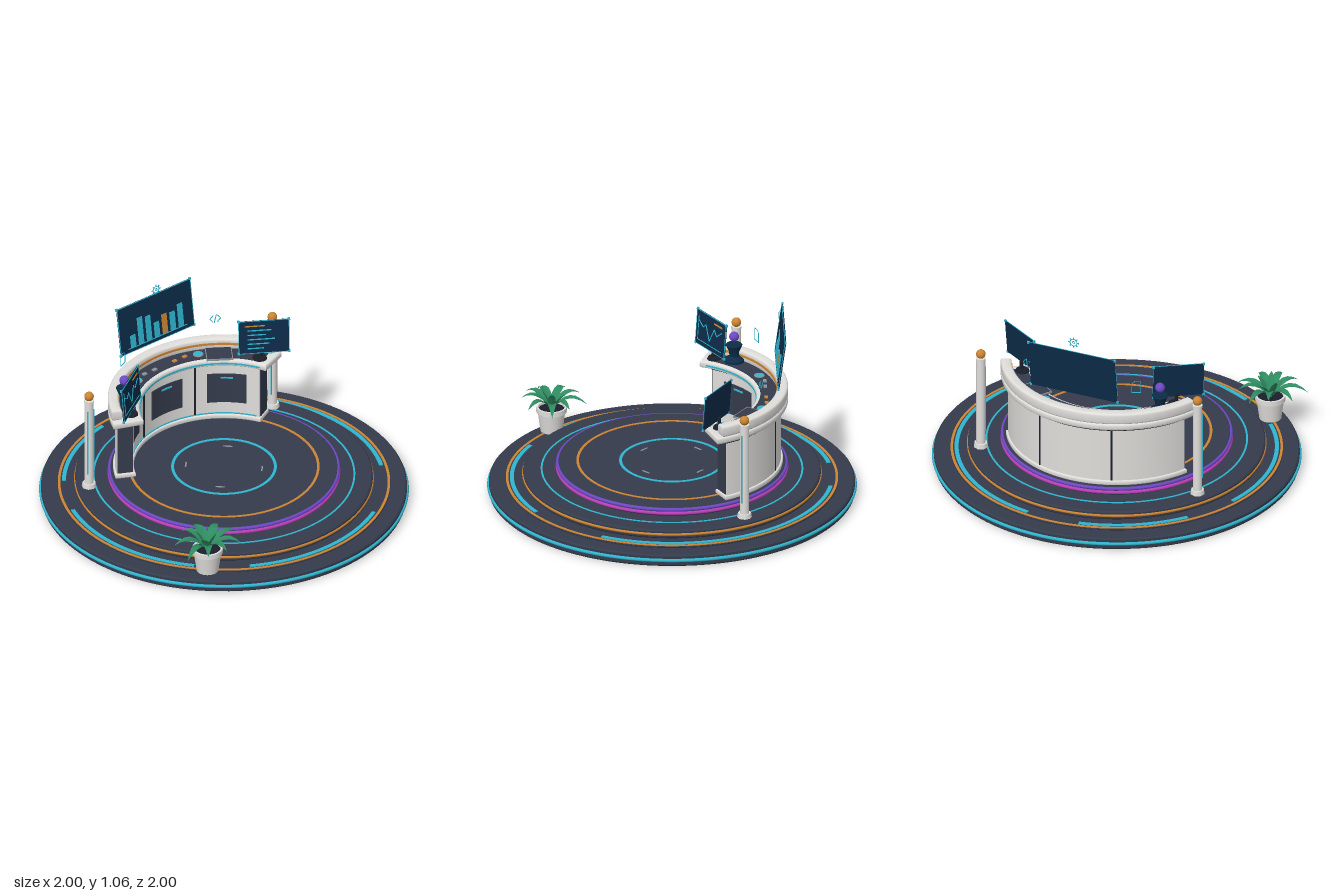
import * as THREE from 'three';
import { toCreasedNormals } from 'three/addons/utils/BufferGeometryUtils.js';

const paint = (name, color) => { const m = new THREE.MeshStandardMaterial({ color }); m.name = name; return m; };
const rad = THREE.MathUtils.degToRad;

export function createModel() {
  const navy = paint('slate navy', 0x343b4b), dark = paint('dark trim', 0x1b1f2a);
  const cyan = paint('cyan light', 0x30b5d0), orange = paint('orange', 0xcc8433);
  const purple = paint('purple', 0x6e48c8), magenta = paint('magenta', 0xb83fb4);
  const white = paint('off white', 0xdfdedb), grey = paint('mid grey', 0x8e949c);
  const glass = paint('screen blue', 0x0c2c48);
  const green = paint('leaf green', 0x2f8d62); green.side = THREE.DoubleSide;

  const model = new THREE.Group();
  const add = (parent, name, geo, mat, x = 0, y = 0, z = 0) => {
    const m = new THREE.Mesh(geo, mat);
    m.name = name; m.position.set(x, y, z); parent.add(m);
    return m;
  };
  const group = (parent, name, x = 0, y = 0, z = 0) => {
    const g = new THREE.Group();
    g.name = name; g.position.set(x, y, z); parent.add(g);
    return g;
  };
  const lathe = (pts, seg = 96) =>
    toCreasedNormals(new THREE.LatheGeometry(pts.map(p => new THREE.Vector2(...p)), seg), 0.5);
  const torus = (r, tube) => new THREE.TorusGeometry(r, tube, 8, 96).rotateX(Math.PI / 2);

  // Curved block around the centre; angles in degrees from the back towards +x
  const arcBlock = (parent, name, mat, r0, r1, y0, y1, a0, a1, bevel = 0) => {
    const s = new THREE.Shape(), p = a => rad(90 - a);
    s.absarc(0, 0, r1, p(a0), p(a1), true);
    s.absarc(0, 0, r0, p(a1), p(a0), false);
    const geo = new THREE.ExtrudeGeometry(s, {
      depth: y1 - y0 - 2 * bevel, curveSegments: Math.max(2, Math.ceil((a1 - a0) / 3)),
      bevelEnabled: bevel > 0, bevelThickness: bevel, bevelSize: bevel, bevelOffset: -bevel, bevelSegments: 3
    }).rotateX(-Math.PI / 2);
    return add(parent, name, toCreasedNormals(geo, 0.6), mat, 0, y0 + bevel, 0);
  };

  // Stepped round platform
  const platform = group(model, 'platform');
  const tier = (name, r, y0, y1, b) => add(platform, name, lathe([
    [0, y0], [r - b, y0], [r, y0 + b], [r, y1 - b], [r - b, y1], [0, y1]]), navy);
  tier('lowerTier', 0.99, 0, 0.068, 0.008);
  tier('lowerStep', 0.9, 0.068, 0.08, 0.003);
  tier('middleTier', 0.805, 0.08, 0.13, 0.008);
  tier('upperTier', 0.62, 0.13, 0.178, 0.008);
  const band = (name, mat, r, y, tube) => add(platform, name, torus(r, tube), mat, 0, y, 0);
  band('lowerLightBand', cyan, 0.99, 0.036, 0.01);
  band('middleLightBand', orange, 0.802, 0.105, 0.009);
  band('upperMagentaBand', magenta, 0.62, 0.147, 0.01);
  band('upperPurpleBand', purple, 0.618, 0.168, 0.01);
  const flatRing = (name, mat, r, w, y) => add(platform, name, lathe([
    [r - w, y], [r + w, y], [r + w, y + 0.004], [r - w, y + 0.004], [r - w, y]]), mat);
  flatRing('outerOrangeRing', orange, 0.892, 0.007, 0.079);
  flatRing('middleCyanRing', cyan, 0.705, 0.005, 0.129);
  flatRing('floorOrangeRing', orange, 0.51, 0.007, 0.177);
  flatRing('floorCyanRing', cyan, 0.278, 0.008, 0.177);
  for (const [a0, a1] of [[310, 350], [370, 478], [150, 210], [230, 290]])
    arcBlock(platform, 'lightArc', cyan, 0.855, 0.877, 0.079, 0.085, a0, a1);
  for (const a of [45, 135, 225, 315])
    add(platform, 'floorMark', new THREE.BoxGeometry(0.05, 0.004, 0.008), grey,
      0.207 * Math.sin(rad(a)), 0.179, -0.207 * Math.cos(rad(a))).rotation.y = -rad(a);

  // Curved counter
  const counter = group(model, 'counter');
  arcBlock(counter, 'plinth', white, 0.488, 0.6, 0.178, 0.205, -63, 63, 0.006);
  arcBlock(counter, 'body', white, 0.5, 0.59, 0.2, 0.52, -62, 62);
  arcBlock(counter, 'shadowGap', dark, 0.493, 0.596, 0.515, 0.532, -62.5, 62.5);
  arcBlock(counter, 'worktop', white, 0.457, 0.628, 0.532, 0.572, -69, 69, 0.012);
  arcBlock(counter, 'worktopLight', cyan, 0.453, 0.46, 0.547, 0.555, -64, 64);
  arcBlock(counter, 'worktopInlay', navy, 0.478, 0.572, 0.57, 0.576, -64, 64);
  arcBlock(counter, 'riser', white, 0.57, 0.628, 0.57, 0.634, -66, 66, 0.012);
  arcBlock(counter, 'riserLight', orange, 0.565, 0.572, 0.6, 0.612, -64, 64);
  for (const a of [-41, 0, 41]) {
    arcBlock(counter, 'doorInset', navy, 0.494, 0.501, 0.28, 0.46, a - 12.4, a + 12.4);
    arcBlock(counter, 'doorHandle', cyan, 0.487, 0.495, 0.434, 0.442, a - 4, a + 4);
  }
  for (const a of [-21, 21]) {
    arcBlock(counter, 'innerSeam', dark, 0.496, 0.501, 0.205, 0.52, a - 0.6, a + 0.6);
    arcBlock(counter, 'outerSeam', dark, 0.589, 0.593, 0.205, 0.52, a - 0.4, a + 0.4);
  }
  arcBlock(counter, 'baseLight', cyan, 0.495, 0.501, 0.207, 0.213, -60, 60);
  for (const s of [-1, 1]) {
    const a = [62 * s, 62.7 * s].sort((p, q) => p - q);
    arcBlock(counter, 'endPanel', navy, 0.503, 0.587, 0.21, 0.515, ...a);
  }

  // Small things on the worktop
  const desk = group(model, 'deskItems');
  for (const s of [-1, 1]) {
    add(desk, 'touchPad', new THREE.CylinderGeometry(0.024, 0.024, 0.008, 24), cyan, 0.212 * s, 0.579, -0.48);
    add(desk, 'touchPadRim', torus(0.025, 0.004), grey, 0.212 * s, 0.579, -0.48);
    for (const x of [0.07, 0.14])
      add(desk, 'button', new THREE.BoxGeometry(0.026, 0.008, 0.02), s < 0 ? grey : orange, x * s, 0.579, -0.507);
  }
  const tablet = group(desk, 'tablet', 0.3, 0.58, -0.41);
  tablet.rotation.y = -0.6;
  add(tablet, 'tabletBody', new THREE.BoxGeometry(0.14, 0.008, 0.12), navy);
  for (const s of [-1, 1]) {
    add(tablet, 'tabletLongEdge', new THREE.BoxGeometry(0.145, 0.01, 0.004), grey, 0, 0, 0.06 * s);
    add(tablet, 'tabletShortEdge', new THREE.BoxGeometry(0.004, 0.01, 0.12), grey, 0.07 * s, 0, 0);
  }
  add(desk, 'orbStand', lathe([[0, 0], [0.055, 0], [0.055, 0.015], [0.025, 0.035], [0.028, 0.06],
    [0.045, 0.1], [0.04, 0.105], [0, 0.1]], 24), glass, -0.41, 0.574, -0.35);
  add(desk, 'orb', new THREE.SphereGeometry(0.027, 20, 14), purple, -0.41, 0.722, -0.35);

  // Screens: thin panel, light frame and drawn charts
  const rect = (parent, name, mat, x, y, w, h, turn = 0, z = 0.006) => {
    const m = add(parent, name, new THREE.BoxGeometry(w, h, 0.003), mat, x, y, z);
    m.rotation.z = turn;
    return m;
  };
  const line = (parent, name, mat, pts, w) => pts.slice(1).forEach(([x, y], i) => {
    const dx = x - pts[i][0], dy = y - pts[i][1];
    rect(parent, name, mat, x - dx / 2, y - dy / 2, Math.hypot(dx, dy) + w / 2, w, Math.atan2(dy, dx));
  });
  const screen = (name, w, h, x, y, z, tilt, yaw) => {
    const g = group(model, name, x, y, z);
    g.rotation.set(tilt, yaw, 0, 'YXZ');
    add(g, 'panel', new THREE.BoxGeometry(w, h, 0.008), glass);
    for (const s of [-1, 1]) {
      rect(g, 'frameBar', cyan, 0, s * h / 2, w, 0.004, 0, 0.003);
      rect(g, 'frameSide', cyan, s * w / 2, 0, 0.004, h, 0, 0.003);
      for (const t of [-1, 1])
        add(g, 'frameCorner', new THREE.BoxGeometry(0.013, 0.013, 0.01), cyan, s * w / 2, t * h / 2, 0);
    }
    return g;
  };
  const main = screen('mainScreen', 0.51, 0.278, 0, 0.846, -0.587, -0.135, 0);
  [0.07, 0.157, 0.145, 0.087, 0.115, 0.108, 0.136].forEach((h, i) =>
    rect(main, 'chartBar', i === 4 ? orange : cyan, -0.167 + i * 0.0555, -0.112 + h / 2, 0.036, h));
  rect(main, 'chartBase', cyan, 0, -0.116, 0.41, 0.004);

  const graph = screen('rightMonitor', 0.275, 0.195, -0.465, 0.715, -0.228, -0.08, rad(32));
  line(graph, 'graphLine', cyan, [[-0.11, 0.04], [-0.07, 0.015], [-0.045, 0.035], [-0.005, -0.045],
    [0.035, 0.035], [0.06, 0.005], [0.105, 0.04]], 0.005);
  line(graph, 'graphAxis', cyan, [[-0.115, 0.07], [-0.115, -0.07], [0.11, -0.07]], 0.003);
  rect(graph, 'graphLabel', orange, 0.07, 0.07, 0.075, 0.009);

  const list = screen('leftMonitor', 0.275, 0.195, 0.465, 0.715, -0.228, -0.08, rad(-32));
  [0.11, 0.13, 0.1, 0.15, 0.12, 0.09].forEach((w, i) =>
    rect(list, 'listRow', i ? cyan : orange, -0.105 + (i ? 0.015 : 0) + w / 2, 0.068 - i * 0.027, w, 0.006));
  for (const s of [-1, 1]) {
    add(desk, 'monitorFoot', new THREE.CylinderGeometry(0.035, 0.04, 0.012, 20), dark, 0.45 * s, 0.58, -0.245);
    add(desk, 'monitorNeck', new THREE.CylinderGeometry(0.01, 0.01, 0.06, 12), dark, 0.457 * s, 0.61, -0.24);
  }

  // Floating outline symbols
  const gear = group(model, 'gearSymbol', 0, 1.027, -0.58);
  add(gear, 'gearRing', new THREE.TorusGeometry(0.02, 0.0025, 6, 24), cyan);
  add(gear, 'gearHub', new THREE.TorusGeometry(0.007, 0.002, 6, 16), cyan);
  for (let i = 0; i < 8; i++) {
    const a = i * Math.PI / 4;
    rect(gear, 'gearTooth', cyan, 0.026 * Math.cos(a), 0.026 * Math.sin(a), 0.01, 0.006, a, 0);
  }
  const sheet = group(model, 'sheetSymbol', -0.325, 0.767, -0.475);
  sheet.rotation.y = 0.4;
  line(sheet, 'sheetEdge', cyan, [[-0.024, -0.034], [0.024, -0.034], [0.024, 0.02], [0.01, 0.034],
    [-0.024, 0.034], [-0.024, -0.034]], 0.003);
  const brackets = group(model, 'bracketSymbol', 0.325, 0.767, -0.475);
  brackets.rotation.y = -0.4;
  for (const s of [-1, 1])
    line(brackets, 'bracket', cyan, [[0.013 * s, 0.02], [0.03 * s, 0], [0.013 * s, -0.02]], 0.004);
  line(brackets, 'slash', cyan, [[-0.006, -0.025], [0.006, 0.025]], 0.004);

  // Posts with ball finials
  for (const s of [-1, 1]) {
    const post = group(model, 'post', 0.64 * s, 0.13, -0.37);
    add(post, 'postFoot', new THREE.CylinderGeometry(0.036, 0.04, 0.025, 8), white, 0, 0.0125, 0);
    add(post, 'postShaft', new THREE.CylinderGeometry(0.025, 0.025, 0.53, 20), white, 0, 0.28, 0);
    add(post, 'postCap', new THREE.CylinderGeometry(0.028, 0.028, 0.012, 8), white, 0, 0.542, 0);
    add(post, 'postBall', new THREE.SphereGeometry(0.026, 20, 14), orange, 0, 0.572, 0);
    for (const t of [-1, 1])
      add(post, 'postLight', new THREE.BoxGeometry(0.006, 0.4, 0.008), cyan, 0.02 * t, 0.29, 0.015).rotation.y = t * 0.93;
  }

  // Potted plant: folded, drooping blades
  const plant = group(model, 'plant', -0.63, 0.08, 0.63);
  add(plant, 'pot', lathe([[0, 0], [0.06, 0], [0.075, 0.11], [0.083, 0.112], [0.083, 0.14],
    [0.072, 0.14], [0.07, 0.125]], 28), white);
  add(plant, 'soil', new THREE.CylinderGeometry(0.072, 0.072, 0.006, 24), dark, 0, 0.125, 0);
  const leafGeometry = (length, rise, droop, width) => {
    const pos = [], index = [], n = 6;
    for (let i = 0; i <= n; i++) {
      const t = i / n, w = width * Math.sin(Math.PI * (0.12 + 0.88 * t)), y = rise * t - droop * t * t;
      pos.push(-w, y + w * 0.45, length * t, 0, y, length * t, w, y + w * 0.45, length * t);
      if (i < n) for (const k of [0, 1]) {
        const a = i * 3 + k;
        index.push(a, a + 3, a + 1, a + 1, a + 3, a + 4);
      }
    }
    const g = new THREE.BufferGeometry();
    g.setAttribute('position', new THREE.Float32BufferAttribute(pos, 3));
    g.setIndex(index);
    g.computeVertexNormals();
    return g;
  };
  for (let i = 0; i < 14; i++) {
    const outer = i < 9, v = (i * 7 % 5) / 5;
    const geo = outer ? leafGeometry(0.165 + 0.05 * v, 0.24, 0.17 + 0.04 * v, 0.024)
      : leafGeometry(0.06 + 0.04 * v, 0.15, 0.02 + 0.03 * v, 0.022);
    add(plant, 'leaf', geo, green, 0, 0.125, 0).rotation.y = outer ? i * 0.698 + 0.2 * v : i * 1.257 + 0.3;
  }
  return model;
}
